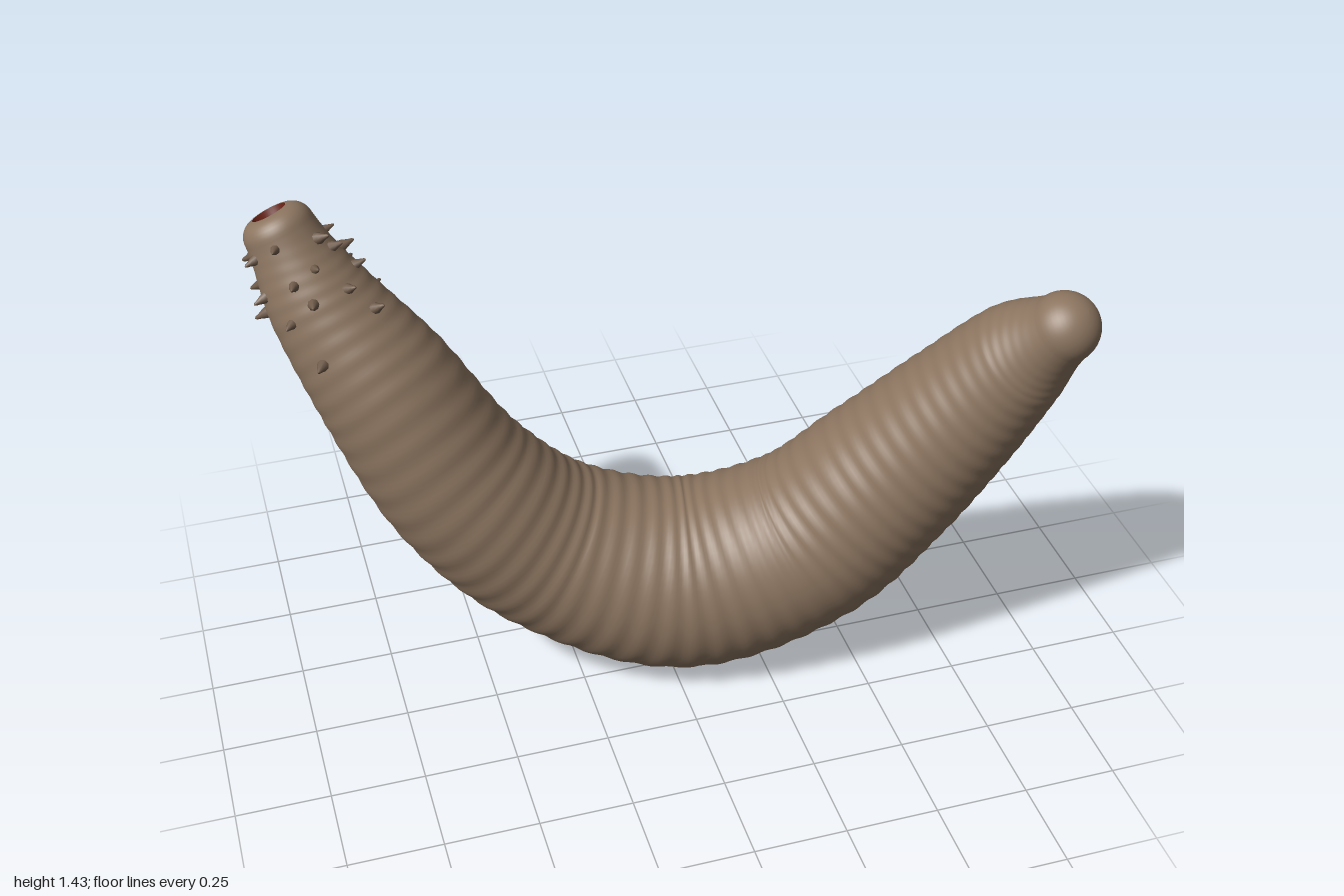
import * as THREE from 'three';

const skin = new THREE.MeshStandardMaterial({ name: 'brown skin', color: 0x8c7560 });
const spineMat = new THREE.MeshStandardMaterial({ name: 'dark brown spine', color: 0x705c4b });
const mouthMat = new THREE.MeshStandardMaterial({ name: 'dark red mouth', color: 0x6a2418 });

// Centre line from head to tail: x, y, z, radius
const stations = [
  [-0.90, 1.36, -0.34, 0.092], [-0.83, 1.19, -0.28, 0.135], [-0.70, 0.96, -0.205, 0.183],
  [-0.52, 0.63, -0.15, 0.215], [-0.29, 0.39, -0.125, 0.238], [0.05, 0.268, -0.06, 0.265],
  [0.37, 0.37, 0.01, 0.247], [0.57, 0.59, 0.08, 0.222], [0.73, 0.83, 0.165, 0.184],
  [0.85, 1.04, 0.25, 0.142], [0.91, 1.16, 0.335, 0.092],
];
const path = new THREE.CatmullRomCurve3(stations.map(s => new THREE.Vector3(s[0], s[1], s[2])));
const girth = new THREE.SplineCurve(stations.map((s, i) => new THREE.Vector2(i, s[3])));

// Position, axis directions and radius at parameter u
function frame(u) {
  const t = path.getTangent(u);
  const n = new THREE.Vector3(0, 0, 1).addScaledVector(t, -t.z).normalize();
  const b = new THREE.Vector3().crossVectors(t, n);
  return { c: path.getPoint(u), t, n, b, r: girth.getPoint(u).y };
}

const radial = (f, a) => f.n.clone().multiplyScalar(Math.cos(a)).addScaledVector(f.b, Math.sin(a));

// Skin a list of rings { f, shift along the axis, r, wrinkle phase }
function loft(rings, seg) {
  const pos = [], idx = [];
  rings.forEach(({ f, shift = 0, r, phase }, i) => {
    for (let j = 0; j < seg; j++) {
      const a = j / seg * Math.PI * 2;
      const fold = phase === undefined ? 0
        : 0.0022 * Math.sin(phase * 330 + 1.5 * Math.sin(a * 2 + phase * 9)) * Math.sin(Math.PI * phase);
      const p = f.c.clone().addScaledVector(f.t, shift).addScaledVector(radial(f, a), r + fold);
      pos.push(p.x, p.y, p.z);
      if (i < rings.length - 1) {
        const k = (j + 1) % seg, A = i * seg, B = A + seg;
        idx.push(A + j, A + k, B + j, A + k, B + k, B + j);
      }
    }
  });
  const g = new THREE.BufferGeometry();
  g.setAttribute('position', new THREE.Float32BufferAttribute(pos, 3));
  g.setIndex(idx);
  g.computeVertexNormals();
  return g;
}

export function createModel() {
  const group = new THREE.Group();
  group.name = 'worm';
  const add = (name, geo, mat, parent = group) => {
    const m = new THREE.Mesh(geo, mat);
    m.name = name;
    parent.add(m);
    return m;
  };

  // Body with a rounded lip at the head and a domed tail
  const head = frame(0), tail = frame(1), rings = [];
  const lipIn = 0.046, lipWidth = head.r - lipIn;
  for (let i = 0; i < 8; i++) {
    const a = i / 8 * Math.PI / 2;
    rings.push({ f: head, shift: -0.05 * Math.cos(a), r: lipIn + lipWidth * Math.sin(a) });
  }
  const steps = 280;
  for (let i = 0; i <= steps; i++) {
    const f = frame(i / steps);
    rings.push({ f, r: f.r, phase: i / steps });
  }
  for (let i = 1; i <= 12; i++) {
    const a = i / 12 * Math.PI / 2;
    rings.push({ f: tail, shift: tail.r * Math.sin(a), r: Math.max(tail.r * Math.cos(a), 0.0005) });
  }
  add('body', loft(rings, 64), skin);

  // Mouth: a shallow cup sunk inside the lip
  const cup = [[0.012, 0.0005], [0.008, 0.02], [-0.012, 0.036], [-0.05, lipIn]];
  const mouthGeo = loft(cup.map(([shift, r]) => ({ f: head, shift, r })).reverse(), 32);
  mouthGeo.setIndex([...mouthGeo.index.array]);
  mouthMat.side = THREE.DoubleSide;
  add('mouth', mouthGeo, mouthMat);

  // Staggered rows of short spines around the head
  let seed = 7;
  const rand = () => (seed = (seed * 16807) % 2147483647) / 2147483647;
  const spines = new THREE.Group();
  spines.name = 'headSpines';
  group.add(spines);
  const profile = [[0.015, -0.006], [0.012, 0.006], [0.007, 0.018], [0.004, 0.028], [0, 0.032]];
  const spineGeo = new THREE.LatheGeometry(profile.map(p => new THREE.Vector2(...p)), 8);
  const rows = [[0.022, 7], [0.055, 9], [0.09, 8], [0.135, 4]];
  rows.forEach(([u, count], row) => {
    for (let i = 0; i < count; i++) {
      const f = frame(u + (rand() - 0.5) * 0.022);
      const out = radial(f, (i + row * 0.5 + (rand() - 0.5) * 0.6) / count * Math.PI * 2);
      const s = add('spine', spineGeo, spineMat, spines);
      s.position.copy(f.c).addScaledVector(out, f.r);
      s.quaternion.setFromUnitVectors(new THREE.Vector3(0, 1, 0), out);
      s.scale.setScalar(0.75 + rand() * 0.45);
    }
  });
  return group;
}
